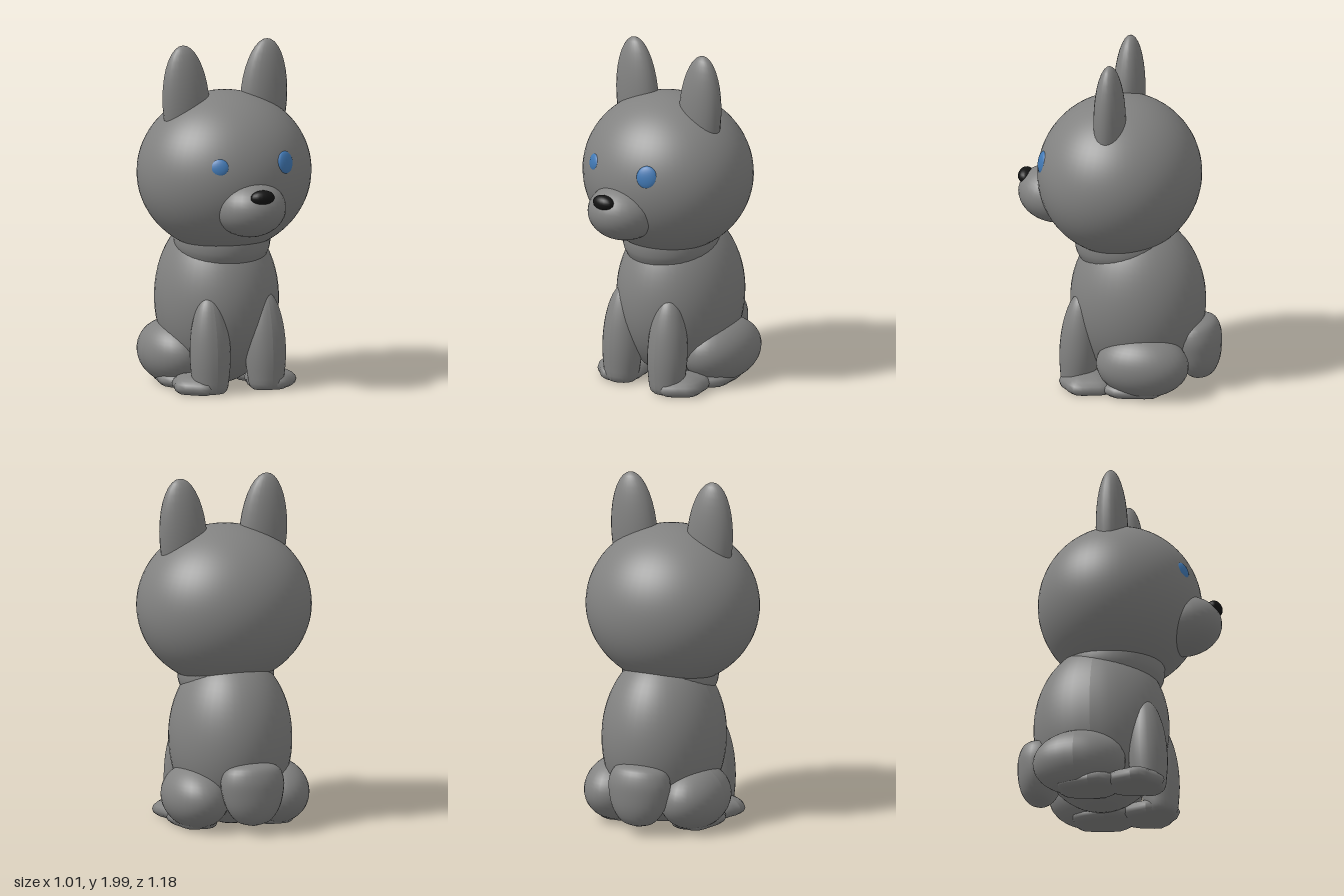
import * as THREE from 'three';

const fur = new THREE.MeshStandardMaterial({ color: 0x828281 });
fur.name = 'grey fur';
const eyeBlue = new THREE.MeshStandardMaterial({ color: 0x4179b5 });
eyeBlue.name = 'eye blue';
const noseBlack = new THREE.MeshStandardMaterial({ color: 0x141414 });
noseBlack.name = 'nose black';

const FLOOR = 0.008;

// Bakes a placement into a geometry and flattens whatever falls below the floor
function place(geo, pos, rot = [0, 0, 0], scale = [1, 1, 1]) {
  geo.applyMatrix4(new THREE.Matrix4().compose(
    new THREE.Vector3(...pos),
    new THREE.Quaternion().setFromEuler(new THREE.Euler(...rot)),
    new THREE.Vector3(...scale)));
  const p = geo.attributes.position;
  let cut = false;
  for (let i = 0; i < p.count; i++) {
    if (p.getY(i) < FLOOR) { p.setY(i, FLOOR); cut = true; }
  }
  if (cut) geo.computeVertexNormals();
  return geo;
}

const ellipsoid = (pos, radii, rot, seg = 32) =>
  place(new THREE.SphereGeometry(1, seg, Math.round(seg * 0.75)), pos, rot, radii);

// Smooth turned shape through a few [radius, height] points
function turned(points, seg = 28) {
  const curve = new THREE.SplineCurve(points.map(p => new THREE.Vector2(...p)));
  const pts = curve.getPoints(24);
  pts.forEach(p => { p.x = Math.max(p.x, 0); });
  return new THREE.LatheGeometry(pts, seg);
}

// Low paw with a ragged, toe-like rim
function paw(pos, radii, side) {
  const geo = new THREE.SphereGeometry(1, 20, 10);
  const p = geo.attributes.position;
  for (let i = 0; i < p.count; i++) {
    const a = Math.atan2(p.getX(i) * side, p.getZ(i));
    const k = 0.95 + 0.07 * Math.cos(a * 5);
    p.setXYZ(i, p.getX(i) * k, p.getY(i), p.getZ(i) * k);
  }
  geo.computeVertexNormals();
  return place(geo, pos, [0, 0, 0], radii);
}

export function createModel() {
  const model = new THREE.Group();
  model.name = 'sittingDog';
  const add = (name, geo, mat = fur) => {
    const mesh = new THREE.Mesh(geo, mat);
    mesh.name = name;
    model.add(mesh);
  };

  // Head, neck and trunk
  add('head', ellipsoid([0, 1.252, 0], [0.505, 0.463, 0.468], [0, 0, 0], 56));
  add('neck', place(turned([[0.25, -0.09], [0.272, -0.03], [0.272, 0.04], [0.25, 0.1]], 40),
    [0, 0.855, -0.03], [0.1, 0, 0], [1, 1, 1.04]));
  add('body', ellipsoid([0, 0.5, -0.108], [0.35, 0.5, 0.39], [0, 0, 0], 44));

  // Muzzle and nose
  add('muzzle', ellipsoid([0, 1.102, 0.375], [0.203, 0.165, 0.216], [-0.12, 0, 0], 28));
  add('nose', ellipsoid([0, 1.195, 0.55], [0.072, 0.044, 0.044], [0, 0, 0], 18), noseBlack);

  for (const side of [1, -1]) {
    const label = side > 0 ? 'left' : 'right';

    // Upright ear, leaning slightly outward
    add(label + 'Ear', ellipsoid([0.24 * side + 0.005, 1.645, 0], [0.141, 0.355, 0.09],
      [0, 0, -0.07 * side], 24));

    // Eye lying on the curve of the head; the left one bulges a little more
    add(label + 'Eye', ellipsoid([0.203 * side, 1.357, side > 0 ? 0.405 : 0.402],
      side > 0 ? [0.062, 0.066, 0.022] : [0.055, 0.052, 0.02],
      [-0.2, 0.46 * side, 0], 18), eyeBlue);

    // Front leg, tapering to a rounded shoulder
    add(label + 'FrontLeg', place(turned([[0, 0], [0.085, 0.005], [0.108, 0.09], [0.118, 0.22],
      [0.108, 0.36], [0.078, 0.48], [0.04, 0.545], [0, 0.57]]),
    [0.172 * side, 0.008, 0.208], [-0.05, 0, 0], [1, 1, 0.95]));

    // Haunch and paws
    add(label + 'Haunch', ellipsoid([0.24 * side, 0.19, -0.19], [0.188, 0.185, 0.268]));
    add(label + 'FrontPaw', paw([0.225 * side, 0.045, 0.13], [0.15, 0.07, 0.17], side));
    add(label + 'HindPaw', paw([0.23 * side, 0.045, -0.12], [0.14, 0.06, 0.22], side));
  }

  // Cup-shaped stub of a tail
  add('tail', place(turned([[0, -0.2], [0.09, -0.175], [0.15, -0.1], [0.178, 0], [0.18, 0.07],
    [0.155, 0.13], [0.09, 0.16], [0, 0.17]]),
  [-0.015, 0.25, -0.455], [0.12, 0, 0], [1.02, 1, 0.76]));

  // Turned shapes are drawn with outward faces from base to top
  return model;
}
